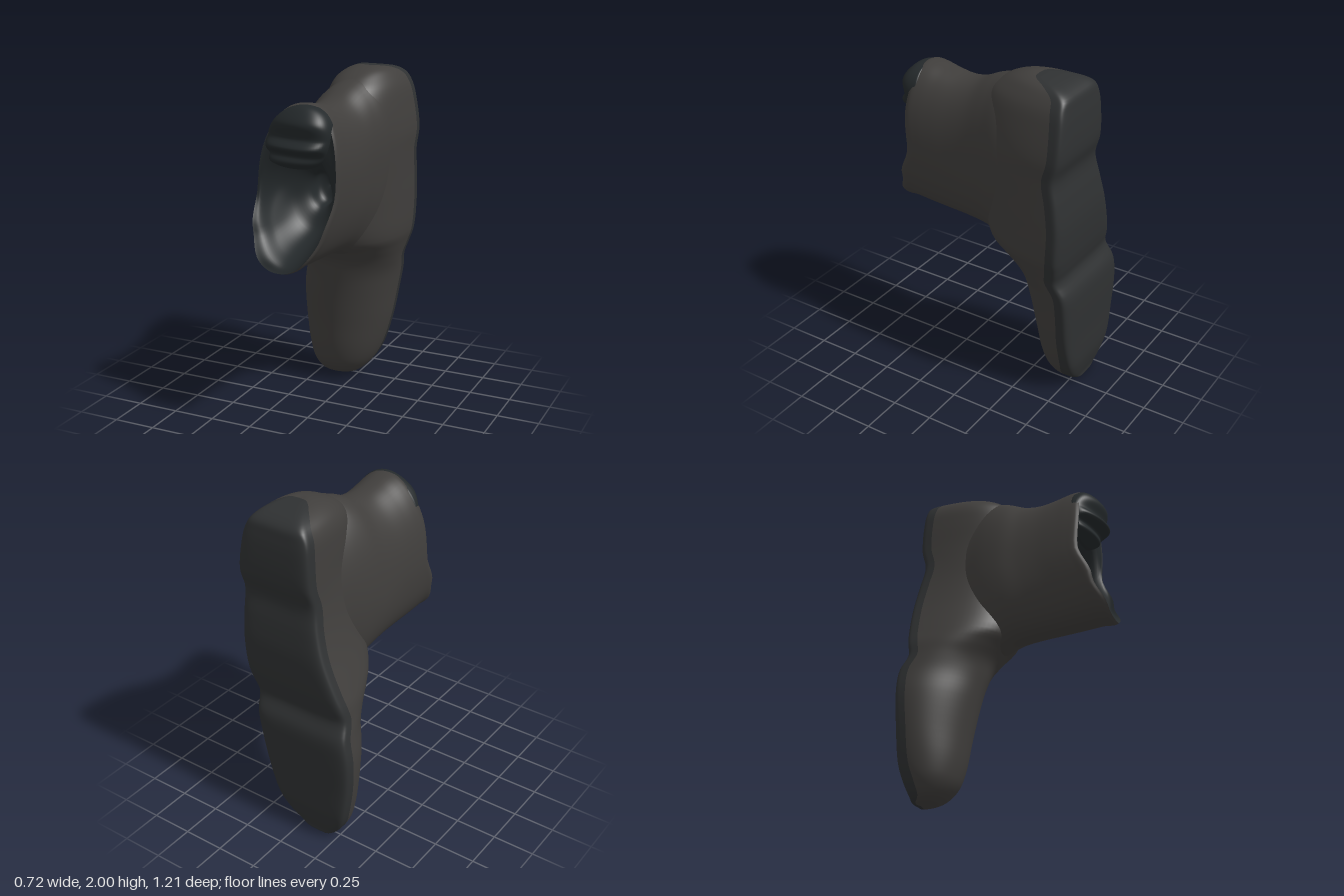
import * as THREE from 'three';
import { mergeVertices } from 'three/addons/utils/BufferGeometryUtils.js';

const V = (x, y, z) => new THREE.Vector3(x, y, z);
const mat = (color) => new THREE.MeshStandardMaterial({ color, side: THREE.DoubleSide });
const leather = mat(0x403e3c), soleMat = mat(0x2f3132), lining = mat(0x24292b);

// Smooth skin through rings of points: every column is a spline sampled n times.
function loft(rings, n) {
  const m = rings[0].length, pos = [], idx = [];
  for (let j = 0; j < m; j++) {
    const curve = new THREE.CatmullRomCurve3(rings.map((r) => r[j]));
    for (let i = 0; i <= n; i++) pos.push(...curve.getPoint(i / n).toArray());
  }
  for (let j = 0; j < m - 1; j++) {
    for (let i = 0; i < n; i++) {
      const a = j * (n + 1) + i, b = a + n + 1;
      idx.push(a, b, a + 1, b, b + 1, a + 1);
    }
  }
  let g = new THREE.BufferGeometry();
  g.setAttribute('position', new THREE.Float32BufferAttribute(pos, 3));
  g.setIndex(idx);
  g = mergeVertices(g, 1e-5);
  g.computeVertexNormals();
  return g;
}

const pw = (v, n) => Math.sign(v) * Math.pow(Math.abs(v), 2 / n);
const arc = (from, to, n, f) => Array.from({ length: n + 1 }, (_, i) => f(from + ((to - from) * i) / n));

// Eased interpolation in [key, value] pairs
function lookup(table, k) {
  if (k <= table[0][0]) return table[0][1];
  for (let i = 1; i < table.length; i++) {
    const [a, u] = table[i - 1], [b, v] = table[i];
    if (k <= b) return u + (v - u) * THREE.MathUtils.smoothstep(k, a, b);
  }
  return table[table.length - 1][1];
}

// Foot from toe (bottom) to heel (top): y, xMin, xMax, zBack, zFront
const FOOT = [
  [0.0, -0.18, -0.06, -0.545, -0.49],
  [0.03, -0.235, 0.01, -0.55, -0.39],
  [0.1, -0.285, 0.085, -0.57, -0.325],
  [0.2, -0.32, 0.145, -0.59, -0.29],
  [0.4, -0.352, 0.208, -0.597, -0.255],
  [0.6, -0.36, 0.245, -0.605, -0.215],
  [0.74, -0.338, 0.27, -0.6, -0.18],
  [0.84, -0.315, 0.29, -0.557, -0.15],
  [0.92, -0.3, 0.315, -0.57, -0.09],
  [1.0, -0.272, 0.338, -0.583, -0.02],
  [1.2, -0.2, 0.348, -0.595, 0.0],
  [1.36, -0.155, 0.35, -0.58, 0.0],
  [1.5, -0.13, 0.352, -0.56, 0.0],
  [1.62, -0.12, 0.356, -0.59, 0.0],
  [1.78, -0.112, 0.335, -0.59, 0.0],
  [1.88, -0.1, 0.312, -0.58, -0.04],
  [1.94, -0.07, 0.28, -0.565, -0.11],
  [1.98, -0.01, 0.24, -0.5, -0.19],
  [2.0, 0.07, 0.18, -0.38, -0.27],
];
// Roundness of the upper: sloping at the toe, fuller at the heel
const ROUND = [[0.1, 2], [0.45, 1.8], [0.75, 1.8], [1.0, 2.4]];

function footRings(from, to, steps, roundAt) {
  const rings = FOOT.map(([y, x0, x1, zb, zf]) => {
    const back = Math.min(0.08, (zf - zb) * 0.4), zc = zb + back, n = roundAt(y);
    return arc(from, to, steps, (t) => V(
      (x0 + x1) / 2 + ((x1 - x0) / 2) * pw(Math.cos(t), n), y,
      zc - (Math.sin(t) > 0 ? back : zf - zc) * pw(Math.sin(t), n)));
  });
  // close both ends on their centres
  const cap = ([y, x0, x1, zb, zf]) => rings[0].map(() => V((x0 + x1) / 2, y, (zb + zf) / 2));
  return [cap(FOOT[0]), ...rings, cap(FOOT[FOOT.length - 1])];
}

// Slanted front edge of the shaft: y, z
const RIM = [[0.97, 0.605], [1.03, 0.595], [1.2, 0.53], [1.42, 0.45], [1.6, 0.455], [1.9, 0.43]];

// Shaft from ankle to opening: fraction of the way to the rim, xMin, xMax, yMin, yMax
const SHAFT = [
  [0, -0.125, 0.315, 0.93, 1.93],
  [0.17, -0.165, 0.312, 0.905, 1.953],
  [0.32, -0.182, 0.292, 0.948, 1.922],
  [0.48, -0.179, 0.276, 0.966, 1.872],
  [0.62, -0.183, 0.272, 0.973, 1.857],
  [0.78, -0.195, 0.275, 0.982, 1.87],
  [0.9, -0.203, 0.278, 0.99, 1.888],
  [0.97, -0.205, 0.277, 0.985, 1.892],
  [1.0, -0.195, 0.268, 0.993, 1.885],
];
const Z0 = -0.28;

function shaftRing([f, x0, x1, y0, y1]) {
  const yc = (y0 + y1) / 2;
  return arc(0, Math.PI * 2, 72, (t) => {
    const y = yc + ((y1 - y0) / 2) * pw(Math.sin(t), 2.25);
    const x = (x0 + x1) / 2 + ((x1 - x0) / 2) * pw(Math.cos(t), 2.25) + 0.08 * (y - yc);
    return V(x, y, Z0 + f * (lookup(RIM, y) - Z0));
  });
}

// Hollow ring inside the opening, its depth given by zOf(y)
const hollowRing = (cx, cy, rx, ry, zOf) => arc(0, Math.PI * 2, 72, (t) => {
  const y = cy + ry * Math.sin(t);
  return V(cx + rx * Math.cos(t), y, zOf(y));
});

// Front outline of the folded tongue: y, z
const TONGUE = [[1.53, 0.46], [1.575, 0.525], [1.615, 0.5], [1.665, 0.56], [1.715, 0.52], [1.8, 0.55], [1.885, 0.53]];

// Cushion that fills the top of the opening, rippled and further forward on its left
function tongueGeometry() {
  const g = new THREE.SphereGeometry(1, 64, 64), p = g.attributes.position;
  for (let i = 0; i < p.count; i++) {
    const sx = p.getX(i), sy = p.getY(i), sz = p.getZ(i);
    const y = 1.71 + 0.178 * sy;
    const square = sy < 0 ? Math.sqrt(1 - 0.6 * sy * sy) : 1;
    const depth = sz > 0 ? lookup(TONGUE, y) - 0.41 + 0.035 * (sx - 0.3) : 0.03;
    p.setXYZ(i, 0.045 + 0.2 * (y - 1.7) + (0.19 * sx) / square, y, 0.41 + depth * pw(sz, 3.2));
  }
  g.computeVertexNormals();
  return g;
}

export function createModel() {
  const group = new THREE.Group();
  const add = (name, geometry, material) => {
    const mesh = new THREE.Mesh(geometry, material);
    mesh.name = name;
    group.add(mesh);
  };

  // Upper and flat sole share the same widest line
  add('footUpper', loft(footRings(Math.PI, Math.PI * 2, 40, (y) => lookup(ROUND, y)), 90), leather);
  add('sole', loft(footRings(0, Math.PI, 48, () => 6), 90), soleMat);

  // Shaft, then the hollow that runs back from its rim
  const rings = SHAFT.map(shaftRing);
  add('shaft', loft(rings, 48), leather);
  add('opening', loft([
    rings[rings.length - 1],
    hollowRing(0.035, 1.35, 0.21, 0.325, (y) => lookup(RIM, y) - 0.025),
    hollowRing(0.04, 1.34, 0.185, 0.275, (y) => lookup(RIM, y) - 0.12),
    hollowRing(0.05, 1.35, 0.14, 0.2, () => 0.26),
    hollowRing(0.06, 1.365, 0.075, 0.11, () => 0.18),
    hollowRing(0.06, 1.37, 0.055, 0.085, () => 0.09),
    hollowRing(0.06, 1.37, 0.001, 0.001, () => 0.06),
  ], 40), lining);

  add('tongue', tongueGeometry(), lining);
  return group;
}
